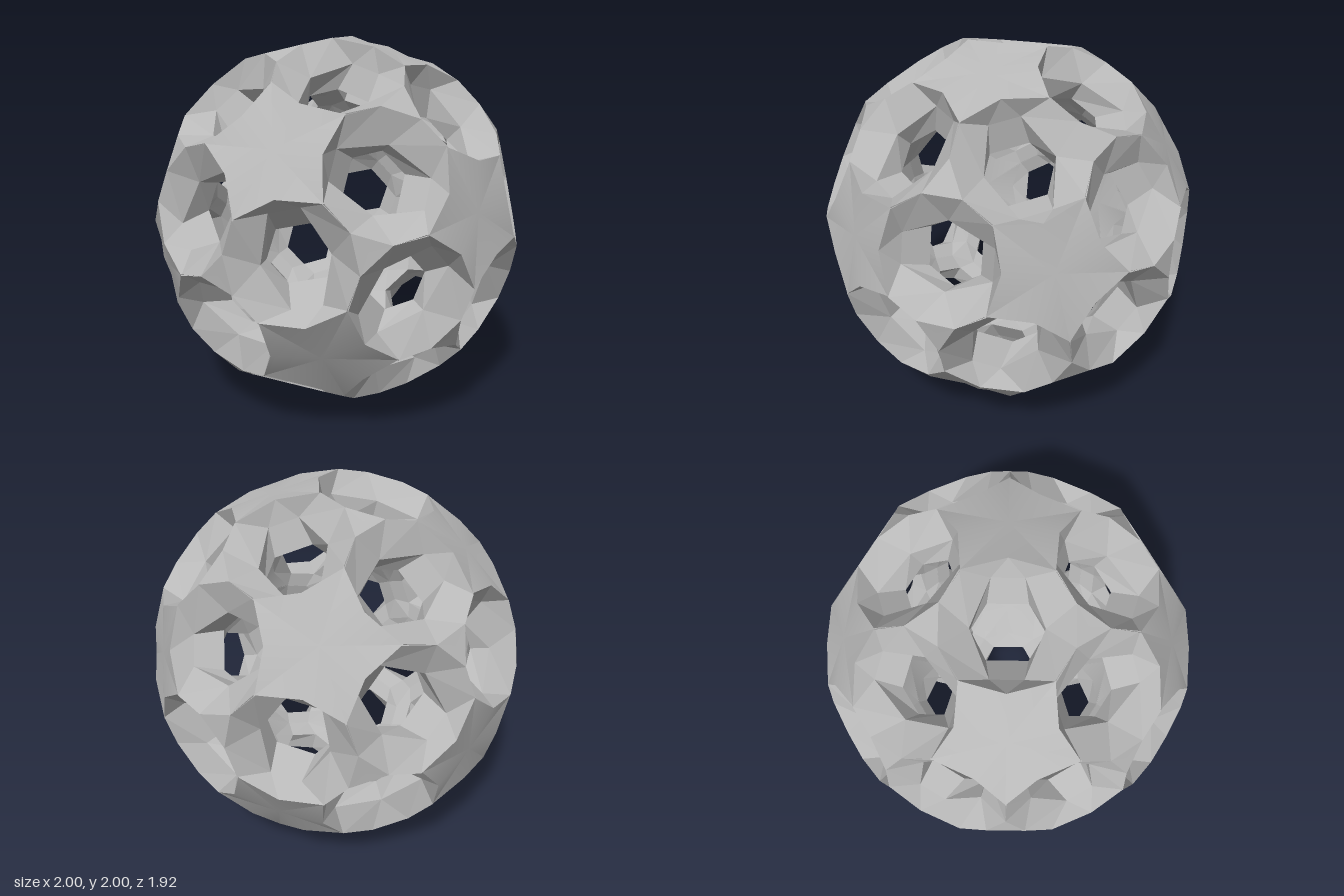
import * as THREE from 'three';
import { mergeVertices } from 'three/addons/utils/BufferGeometryUtils.js';

const PHI = (1 + Math.sqrt(5)) / 2;
const TILT = 0.222;
const SIZE = 0.992;
const INNER = 0.75; // inner shell relative to the outer one

// Half outlines of one opening: [toward star, toward triangle]; the rest is a half turn
const halfTurn = (pts) => [...pts, ...pts.map(([v, u]) => [-v, -u])];
const RIM = halfTurn([[0.305, 0], [0.248, 0.22], [0.1, 0.307], [-0.1, 0.307], [-0.248, 0.22]]);
const THROAT = halfTurn([[0.235, 0.08], [0, 0.175], [-0.235, 0.08]]);
const WINDOW = halfTurn([[0.135, 0.1], [0, 0.18], [-0.135, 0.1]]);

// The twelve five-fold directions
function starDirections() {
  const out = [];
  for (const s of [-1, 1]) for (const t of [-1, 1]) {
    out.push([0, s, t * PHI], [s, t * PHI, 0], [t * PHI, 0, s]);
  }
  return out.map((p) => new THREE.Vector3(...p).normalize());
}

// Collects polygons as triangles
function makeSurface() {
  const data = [];
  return {
    add(points, flip = false) {
      const p = flip ? [...points].reverse() : points;
      for (let i = 1; i < p.length - 1; i++) {
        for (const q of [p[0], p[i], p[i + 1]]) data.push(q.x, q.y, q.z);
      }
    },
    mesh(name, material, smooth = false) {
      let g = new THREE.BufferGeometry();
      g.setAttribute('position', new THREE.Float32BufferAttribute(data, 3));
      if (smooth) g = mergeVertices(g, 1e-3);
      g.computeVertexNormals();
      const m = new THREE.Mesh(g, material);
      m.name = name;
      return m;
    },
  };
}

// Funnel between a ten-sided rim O and a six-sided outline H
function addFunnel(surface, O, H, flip) {
  for (const k of [0, 1]) {
    const o = (i) => O[(i + 5 * k) % 10];
    const h = (i) => H[(i + 3 * k) % 6];
    surface.add([o(0), o(1), h(0)], flip);
    surface.add([o(1), o(2), h(1), h(0)], flip);
    surface.add([o(2), o(3), h(1)], flip);
    surface.add([o(3), o(4), h(2), h(1)], flip);
    surface.add([o(4), o(5), h(2)], flip);
    surface.add([o(5), h(3), h(2)], flip);
  }
}

export function createModel() {
  const grey = new THREE.MeshStandardMaterial({ color: 0xb8b8b8 });
  grey.name = 'grey';

  const stars = makeSurface(), triangles = makeSurface(), funnels = makeSurface();
  const walls = makeSurface(), innerFunnels = makeSurface();
  const innerStars = makeSurface(), innerTriangles = makeSurface();

  // One opening between every pair of neighbouring stars
  const dirs = starDirections();
  for (let i = 0; i < 12; i++) for (let j = i + 1; j < 12; j++) {
    if (dirs[i].dot(dirs[j]) < 0.4) continue;
    const e = dirs[i].clone().add(dirs[j]).normalize();
    const b = dirs[i].clone().sub(dirs[j]).normalize();
    const a = e.clone().cross(b);
    const place = (d) => ([v, u]) =>
      e.clone().multiplyScalar(d).addScaledVector(b, v).addScaledVector(a, u);

    const rim = RIM.map(place(0.965));
    const throat = THROAT.map(place(0.87));
    const win = WINDOW.map(place(0.76));
    const shrink = (p) => p.clone().multiplyScalar(INNER);
    const innerRim = rim.map(shrink);

    addFunnel(funnels, rim, throat, false);
    addFunnel(innerFunnels, innerRim, win, true);
    for (let n = 0; n < 6; n++) {
      const m = (n + 1) % 6;
      walls.add([throat[n], throat[m], win[m], win[n]]);
    }

    // Shares of the neighbouring stars and triangles, on both shells
    [dirs[i], dirs[j]].forEach((dir, k) => {
      const r = (n) => rim[(n + 5 * k) % 10];
      const c = dir.clone().multiplyScalar(0.975);
      const t = place(0.944)([0, k ? -0.361 : 0.361]);
      for (const f of [[c, r(1), r(0)], [c, r(0), r(9)]]) {
        stars.add(f);
        innerStars.add(f.map(shrink), true);
      }
      const f = [t, r(3), r(2)];
      triangles.add(f);
      innerTriangles.add(f.map(shrink), true);
    });
  }

  const ball = new THREE.Group();
  ball.name = 'openworkBall';
  ball.add(
    stars.mesh('starPanels', grey, true),
    triangles.mesh('trianglePanels', grey),
    funnels.mesh('openingFunnels', grey),
    walls.mesh('openingWalls', grey),
    innerFunnels.mesh('innerFunnels', grey),
    innerStars.mesh('innerStarPanels', grey, true),
    innerTriangles.mesh('innerTrianglePanels', grey),
  );
  ball.scale.setScalar(SIZE);
  ball.rotation.z = TILT;
  ball.position.y = 1;

  const model = new THREE.Group();
  model.name = 'openworkSphere';
  model.add(ball);
  return model;
}
